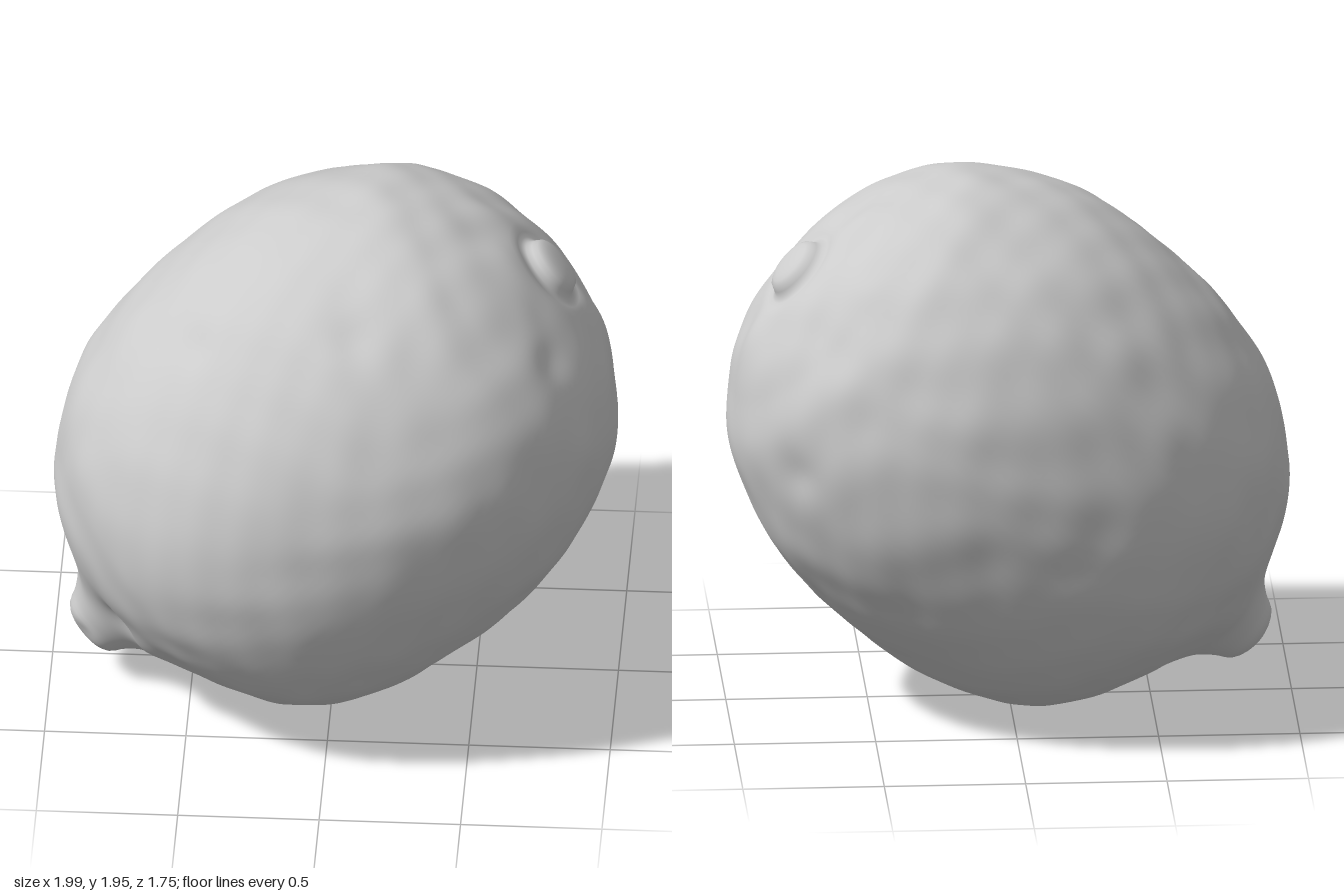
import * as THREE from 'three';
import { mergeVertices } from 'three/addons/utils/BufferGeometryUtils.js';

// Half outline of the lemon: [radius, position along its axis], tip to stem
const OUTLINE = [
  [0, -1.213], [0.06, -1.203], [0.115, -1.172], [0.145, -1.118], [0.2, -1.052], [0.3, -0.985],
  [0.41, -0.92], [0.535, -0.835], [0.67, -0.71], [0.767, -0.565], [0.837, -0.35], [0.866, -0.1],
  [0.867, 0.12], [0.84, 0.33], [0.79, 0.49], [0.72, 0.63], [0.63, 0.765], [0.51, 0.86],
  [0.4, 0.925], [0.28, 0.972], [0.19, 0.993], [0.135, 0.99], [0.115, 1.005], [0.105, 1.028],
  [0.08, 1.043], [0.04, 1.05], [0, 1.051],
];

// Local dents (positive depth) and bumps (negative): x, y, z, radius, depth
const DENTS = [
  [0.2, 1.6, 0.65, 0.38, 0.03], [-0.76, 0.36, 0.37, 0.08, 0.03], [-0.64, 0.32, 0.42, 0.09, -0.02],
  [-0.9, 0.2, 0.2, 0.06, 0.02], [-0.48, 1.58, 0.38, 0.07, 0.012], [0.08, 1.74, 0.52, 0.08, 0.015],
  [0.75, 1.5, 0.3, 0.08, 0.02], [0.64, 1.62, 0.22, 0.08, -0.012], [0.68, 1.52, -0.46, 0.09, 0.018],
  [0.52, 1.67, -0.5, 0.08, -0.012], [0.75, 1.02, -0.56, 0.08, 0.015],
];

// Small uneven lumps of the rind made of a few crossing waves
function rind({ x, y, z }) {
  return (
    Math.sin(11 * x + 5 * y + 2 * Math.sin(5 * z)) * Math.sin(12 * z - 7 * y + 1) +
    0.8 * Math.sin(17 * y + 8 * z + 2 * Math.sin(7 * x)) * Math.sin(16 * x - 9 * z + 0.6) +
    0.5 * Math.sin(27 * z + 11 * x) * Math.sin(25 * y - 10 * x + 2)
  );
}

// Round body turned about y, then made a little irregular
function fruitBody() {
  const curve = new THREE.SplineCurve(OUTLINE.map(([r, s]) => new THREE.Vector2(r, s)));
  const points = curve.getSpacedPoints(150);
  points[0].x = points[150].x = 0;
  const lathe = new THREE.LatheGeometry(points, 128);
  lathe.deleteAttribute('uv');
  lathe.deleteAttribute('normal');
  const geometry = mergeVertices(lathe, 1e-5);

  const position = geometry.attributes.position;
  const p = new THREE.Vector3();
  const out = new THREE.Vector3();
  for (let i = 0; i < position.count; i++) {
    p.fromBufferAttribute(position, i);
    const s = p.y;
    const radius = Math.hypot(p.x, p.z);
    const angle = Math.atan2(p.z, p.x);
    // Soft radiating folds at both ends
    const folds = Math.exp(-(((radius - 0.3) / 0.1) ** 2)) * Math.sin(5 * angle + Math.sin(2 * angle));
    const push = 0.0035 * rind(p) * THREE.MathUtils.smoothstep(radius, 0.03, 0.3) + 0.005 * folds;
    p.addScaledVector(out.copy(p).normalize(), push);
    // Fuller shoulder above the tip, stem set slightly off the axis
    const stem = THREE.MathUtils.smoothstep(s, 0.85, 1);
    p.x += 0.045 * Math.exp(-(((s + 0.9) / 0.12) ** 2)) - 0.012 - 0.012 * stem;
    p.z += 0.03 * stem;
    position.setXYZ(i, p.x, p.y, p.z);
  }
  return geometry;
}

function lemonGeometry() {
  const geometry = fruitBody();

  // Lean the axis from the lower tip up to the stem
  const axis = new THREE.Vector3(0.8, 0.728, -0.085).normalize();
  const up = new THREE.Vector3(-0.728, 0.8, 0).normalize();
  const side = new THREE.Vector3().crossVectors(up, axis);
  const centre = new THREE.Vector3(0, 0.98, 0);
  geometry.applyMatrix4(new THREE.Matrix4().makeBasis(up, axis, side).setPosition(centre));

  // Dents and bumps
  const position = geometry.attributes.position;
  const p = new THREE.Vector3();
  const spot = new THREE.Vector3();
  for (let i = 0; i < position.count; i++) {
    p.fromBufferAttribute(position, i);
    let push = 0;
    for (const [x, y, z, size, depth] of DENTS) {
      push -= depth * Math.exp(-p.distanceToSquared(spot.set(x, y, z)) / (size * size));
    }
    p.addScaledVector(spot.copy(p).sub(centre).normalize(), push);
    position.setXYZ(i, p.x, p.y, p.z);
  }
  geometry.computeVertexNormals();
  return geometry;
}

export function createModel() {
  const group = new THREE.Group();
  group.name = 'lemon';
  const fruit = new THREE.Mesh(
    lemonGeometry(), new THREE.MeshStandardMaterial({ color: 0xcccccc }));
  fruit.name = 'fruit';
  group.add(fruit);
  return group;
}
